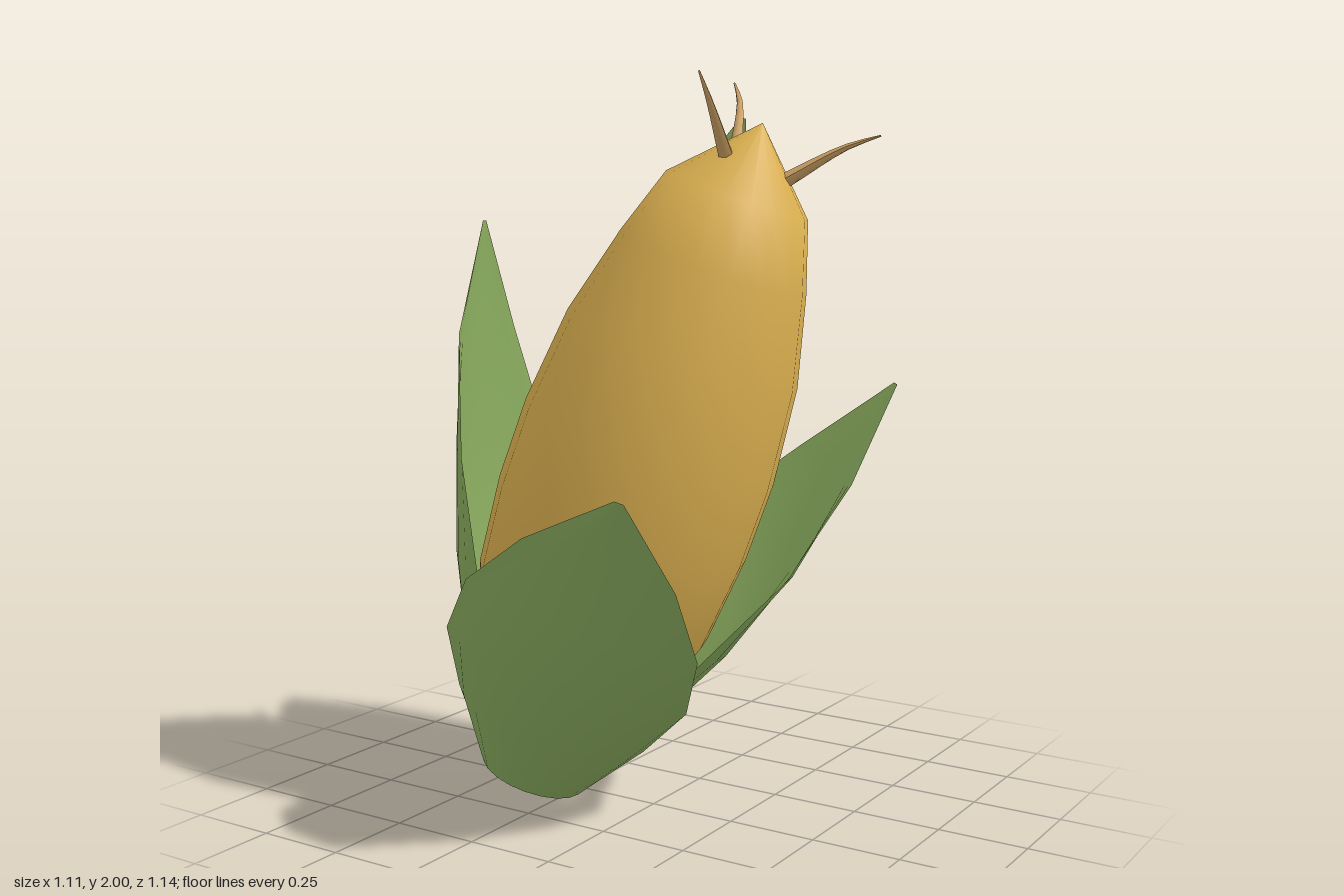
import * as THREE from 'three';

const cornYellow = new THREE.MeshStandardMaterial({ color: 0xe0b452 });
cornYellow.name = 'cornYellow';
const huskGreen = new THREE.MeshStandardMaterial({ color: 0x8fb262, side: THREE.DoubleSide });
huskGreen.name = 'huskGreen';
const silkTan = new THREE.MeshStandardMaterial({ color: 0xcfa365 });
silkTan.name = 'silkTan';

function part(geometry, material, name) {
  const mesh = new THREE.Mesh(geometry, material);
  mesh.name = name;
  return mesh;
}

// Kernel body: a blunt lathe with a pointed tip
function cobGeometry() {
  const profile = [
    [0, 0.07], [0.13, 0.11], [0.255, 0.3], [0.338, 0.55], [0.361, 0.8], [0.36, 1.03],
    [0.33, 1.3], [0.264, 1.55], [0.2, 1.737], [0, 1.937],
  ];
  return new THREE.LatheGeometry(profile.map(([r, y]) => new THREE.Vector2(r, y)), 18);
}

// Husk leaf: arcs around the cob axis that narrow to a tip; angles in degrees
function leafGeometry({ angle, length, radii }) {
  const columns = 10;
  const halfAngles = [90, 75, 57, 39, 20, 1];
  const positions = [];
  const index = [];
  radii.forEach((r, i) => {
    const y = (length * i) / (radii.length - 1);
    for (let j = 0; j <= columns; j++) {
      const a = THREE.MathUtils.degToRad(angle + halfAngles[i] * ((2 * j) / columns - 1));
      positions.push(r * Math.cos(a), y, r * Math.sin(a));
      if (i < radii.length - 1 && j < columns) {
        const p = i * (columns + 1) + j;
        const q = p + columns + 1;
        index.push(p, q, p + 1, q, q + 1, p + 1);
      }
    }
  });
  const geometry = new THREE.BufferGeometry();
  geometry.setAttribute('position', new THREE.Float32BufferAttribute(positions, 3));
  geometry.setIndex(index);
  geometry.computeVertexNormals();
  return geometry;
}

// Silk strand: a bent tube whose rings shrink toward the tip
function silkGeometry(points) {
  const curve = new THREE.CatmullRomCurve3(points.map((p) => new THREE.Vector3(...p)));
  const steps = 6;
  const sides = 6;
  const geometry = new THREE.TubeGeometry(curve, steps, 0.021, sides);
  const pos = geometry.attributes.position;
  const v = new THREE.Vector3();
  for (let i = 0; i < pos.count; i++) {
    const s = Math.floor(i / (sides + 1)) / steps;
    const centre = curve.getPointAt(s);
    v.fromBufferAttribute(pos, i).sub(centre).multiplyScalar(1 - 0.88 * s).add(centre);
    pos.setXYZ(i, v.x, v.y, v.z);
  }
  geometry.computeVertexNormals();
  return geometry;
}

export function createModel() {
  const model = new THREE.Group();
  model.name = 'cornEar';

  // Leaning ear: local y runs along the cob axis
  const base = new THREE.Vector3(-0.36, 0.055, 0.08);
  const axis = new THREE.Vector3(0.25, 1.88, -0.14).sub(base).normalize();
  const across = new THREE.Vector3().crossVectors(axis, new THREE.Vector3(0, 0, 1)).normalize();
  const depth = new THREE.Vector3().crossVectors(across, axis);
  const ear = new THREE.Group();
  ear.name = 'leaningEar';
  ear.quaternion.setFromRotationMatrix(new THREE.Matrix4().makeBasis(across, axis, depth));
  ear.position.copy(base);
  model.add(ear);

  ear.add(part(cobGeometry(), cornYellow, 'cob'));

  // Four husk leaves around the base
  const leaves = {
    frontLeaf: { angle: 63.5, length: 1.01, radii: [0.15, 0.285, 0.41, 0.505, 0.59, 0.686] },
    sideLeaf: { angle: 166, length: 1.43, radii: [0.15, 0.285, 0.41, 0.5, 0.585, 0.66] },
    tallBackLeaf: { angle: -126, length: 1.925, radii: [0.15, 0.265, 0.352, 0.42, 0.435, 0.42] },
    backLeaf: { angle: -48.5, length: 1.376, radii: [0.15, 0.28, 0.405, 0.497, 0.56, 0.64] },
  };
  for (const [name, leaf] of Object.entries(leaves)) {
    ear.add(part(leafGeometry(leaf), huskGreen, name));
  }

  // Silk strands at the tip
  const strands = [
    [[0.145, 1.79, -0.175], [0.1, 1.94, -0.28], [0.045, 2.0, -0.345]],
    [[0.2, 1.8, -0.03], [0.22, 1.93, 0.085], [0.228, 2.0, 0.15]],
    [[0.31, 1.73, -0.155], [0.455, 1.815, -0.215], [0.54, 1.845, -0.25]],
  ];
  strands.forEach((points, i) => model.add(part(silkGeometry(points), silkTan, `silkStrand${i + 1}`)));

  return model;
}
